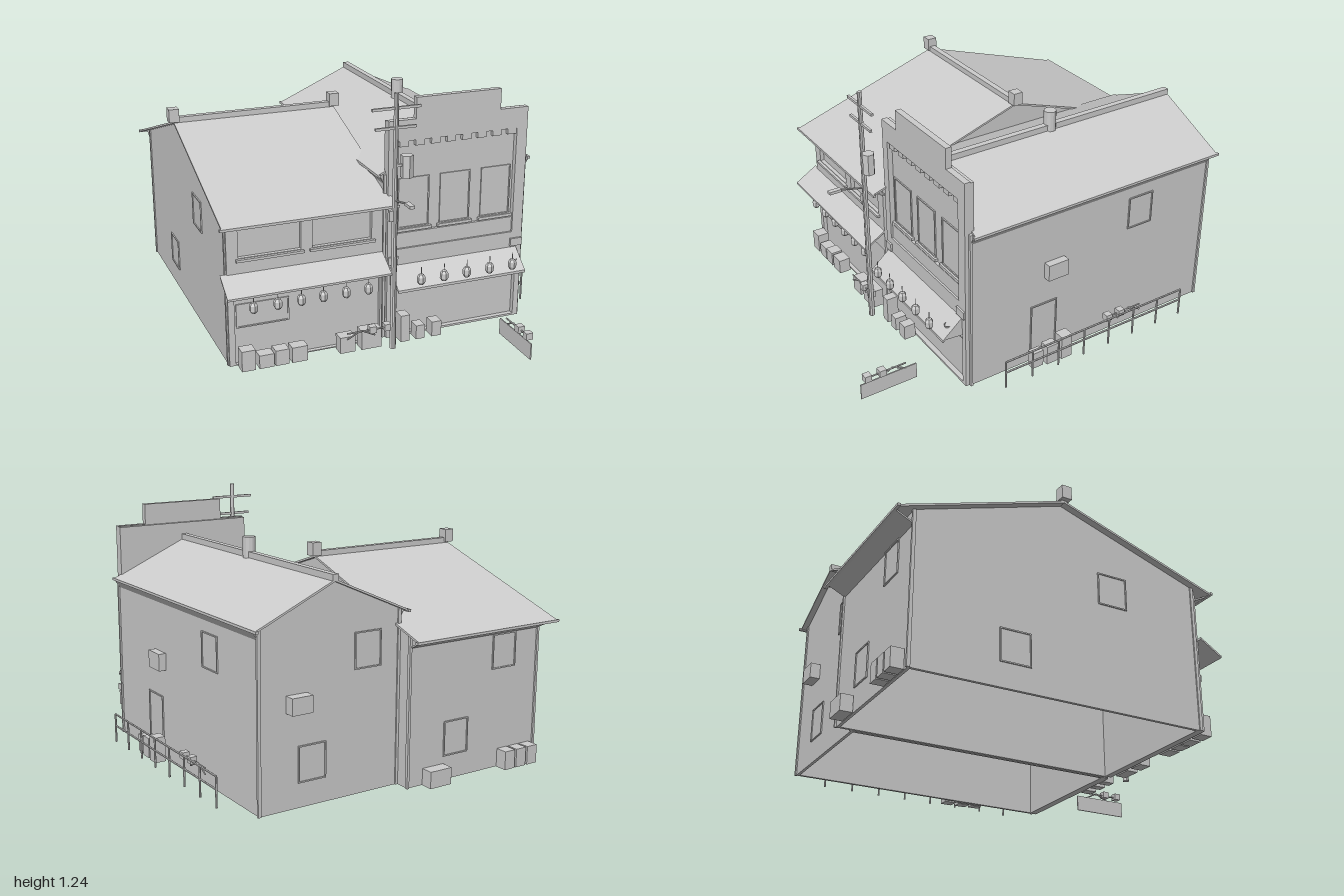
import * as THREE from 'three';

const grey = new THREE.MeshStandardMaterial({ color: 0xcccccc, side: THREE.DoubleSide, flatShading: true });
grey.name = 'light grey';

function add(parent, name, geo, x = 0, y = 0, z = 0) {
  const m = new THREE.Mesh(geo, grey);
  m.name = name;
  m.position.set(x, y, z);
  parent.add(m);
  return m;
}
// box given by its limits
function box(parent, name, x0, x1, y0, y1, z0, z1) {
  return add(parent, name, new THREE.BoxGeometry(x1 - x0, y1 - y0, z1 - z0), (x0 + x1) / 2, (y0 + y1) / 2, (z0 + z1) / 2);
}
// straight round bar between two points
function bar(parent, name, a, b, r, sides = 6) {
  const p = new THREE.Vector3(...a), d = new THREE.Vector3(...b).sub(p);
  const m = add(parent, name, new THREE.CylinderGeometry(r, r, d.length(), sides));
  m.position.copy(p).addScaledVector(d, 0.5);
  m.quaternion.setFromUnitVectors(new THREE.Vector3(0, 1, 0), d.normalize());
  return m;
}
const outline = pts => pts.map(p => new THREE.Vector2(...p));
const rect = (x0, x1, y0, y1) => [[x0, y0], [x1, y0], [x1, y1], [x0, y1]];
// flat shape with holes, given a depth
function slab(parent, name, pts, depth, z = 0, holes = []) {
  const s = new THREE.Shape(outline(pts));
  holes.forEach(h => s.holes.push(new THREE.Path(outline(h))));
  return add(parent, name, new THREE.ExtrudeGeometry(s, { depth, bevelEnabled: false }), 0, 0, z);
}

// gabled house, ridge along local z, open underneath
function house(parent, name, o) {
  const g = new THREE.Group();
  g.name = name;
  const { hw, z0, z1, rw, rz0, rz1, peak, eave } = o, t = 0.01;
  const wallTop = peak - (peak - eave) * hw / rw - t;
  const gable = [[-hw, 0], [hw, 0], [hw, wallTop], [0, peak - t], [-hw, wallTop]];
  slab(g, 'gableWall', gable, 0.015, z0);
  slab(g, 'gableWall', gable, 0.015, z1 - 0.015);
  slab(g, 'roof', [[0, peak], [-rw, eave], [-rw, eave - t], [0, peak - t], [rw, eave - t], [rw, eave]], rz1 - rz0, rz0);
  box(g, 'ridgeCap', -0.015, 0.015, peak - 0.01, peak + 0.022, rz0, rz1);
  for (const s of [-1, 1]) {
    box(g, 'sideWall', s * hw - 0.0075 * (1 + s), s * hw + 0.0075 * (1 - s), 0, wallTop, z0, z1);
    box(g, 'gutter', s * rw - 0.007, s * rw + 0.007, eave - 0.012, eave, rz0 - 0.01, rz1 + 0.01);
    // sloping soffit under the eave
    slab(g, 'soffit', [[s * hw, eave - 0.05], [s * rw, eave - 0.008], [s * rw, eave], [s * hw, eave - 0.042]], z1 - z0, z0);
    for (const z of [z0, z1]) box(g, 'cornerTrim', s * hw - 0.008, s * hw + 0.008, 0, wallTop, z - 0.006, z + 0.006);
  }
  parent.add(g);
  return g;
}

// framed window or door facing local +z
function opening(parent, name, x, y, z, w, h, turn = 0, sill = true) {
  const g = new THREE.Group();
  g.name = name;
  slab(g, 'frame', rect(-w / 2 - 0.006, w / 2 + 0.006, -0.006, h + 0.006), 0.006, 0, [rect(-w / 2, w / 2, 0, h)]);
  box(g, 'pane', -w / 2, w / 2, 0, h, -0.001, 0.001);
  if (sill) box(g, 'sill', -w / 2 - 0.018, w / 2 + 0.018, -0.02, -0.006, 0, 0.016);
  g.position.set(x, y, z);
  g.rotation.y = turn;
  parent.add(g);
}

// profile in (z, y) swept between x0 and x1
function sweepX(parent, name, pts, x0, x1) {
  const m = slab(parent, name, pts, x1 - x0);
  m.rotation.y = -Math.PI / 2;
  m.position.x = x1;
}

function lanterns(parent, xs, y, z) {
  const profile = [[0, -0.027], [0.012, -0.025], [0.02, -0.012], [0.02, 0.012], [0.012, 0.025], [0, 0.027]];
  for (const x of xs) {
    add(parent, 'lantern', new THREE.LatheGeometry(outline(profile), 6), x, y, z);
    bar(parent, 'lanternCord', [x, y + 0.02, z], [x, y + 0.06, z], 0.002, 4);
  }
}

// low rack with two small boxes on a thin rail, running along local x
function rack(parent, x, z, turn, board) {
  const g = new THREE.Group();
  g.name = 'displayRack';
  if (board) box(g, 'board', -0.145, 0.145, 0, 0.08, -0.003, 0.003);
  bar(g, 'rail', [-0.12, 0.105, 0], [0.09, 0.105, 0], 0.004);
  for (const bx of [-0.11, -0.035]) box(g, 'smallBox', bx - 0.017, bx + 0.017, 0.092, 0.125, -0.017, 0.017);
  for (const s of [-1, 1]) bar(g, 'strut', [0.02, 0.11, 0], [0.02 + s * 0.07, 0.075, 0], 0.004);
  g.position.set(x, 0, z);
  g.rotation.y = turn;
  parent.add(g);
}

export function createModel() {
  const root = new THREE.Group();
  root.name = 'twinShopBuildings';
  const H = Math.PI / 2;

  // the two houses
  const left = house(root, 'leftHouse', { hw: 0.72, z0: -0.77, z1: -0.005, rw: 0.808, rz0: -0.805, rz1: 0.02, peak: 0.965, eave: 0.7 });
  left.rotation.y = H;
  left.position.z = -0.185;
  const right = house(root, 'rightHouse', { hw: 0.3625, z0: -0.83, z1: 0.53, rw: 0.39, rz0: -0.86, rz1: 0.52, peak: 0.99, eave: 0.817 });
  right.position.x = 0.3625;
  for (const x of [-0.805, 0.02]) box(root, 'ridgeBlock', x - 0.025, x + 0.025, 0.965, 1.03, -0.21, -0.16);
  add(root, 'chimney', new THREE.CylinderGeometry(0.03, 0.03, 0.1, 12), 0.36, 1.03, -0.145);

  // left shop front
  const lf = new THREE.Group();
  lf.name = 'leftShopFront';
  root.add(lf);
  slab(lf, 'frontWall', rect(-0.77, -0.02, 0, 0.69), 0.02, 0.535,
    [rect(-0.74, -0.03, 0.005, 0.335), rect(-0.715, -0.42, 0.525, 0.68), rect(-0.365, -0.075, 0.525, 0.68)]);
  for (const x of [-0.568, -0.22]) box(lf, 'windowSill', x - 0.16, x + 0.16, 0.51, 0.522, 0.55, 0.57);
  opening(lf, 'shopWindow', -0.603, 0.185, 0.537, 0.24, 0.105, 0, false);
  sweepX(lf, 'awning', [[0.55, 0.455], [0.665, 0.385], [0.665, 0.375], [0.55, 0.445]], -0.8, -0.02);
  lanterns(lf, [-0.67, -0.556, -0.444, -0.338, -0.227, -0.116], 0.307, 0.62);

  // right stepped facade
  const rf = new THREE.Group();
  rf.name = 'rightShopFront';
  root.add(rf);
  slab(rf, 'steppedFacade',
    [[0.005, 0], [0.72, 0], [0.72, 1.075], [0.573, 1.075], [0.573, 1.175], [0.14, 1.175], [0.14, 1.075], [0.005, 1.075]],
    0.03, 0.525, [rect(0.025, 0.692, 0.01, 0.37), rect(0.05, 0.665, 0.45, 0.975)]);
  box(rf, 'facadeBacking', 0.005, 0.72, 0.8, 1.07, 0.508, 0.53);
  box(rf, 'lowerPanel', 0.05, 0.665, 0.45, 0.525, 0.53, 0.545);
  for (let i = 0; i < 8; i++) {
    const x = 0.063 + i * 0.0795;
    box(rf, 'friezeTooth', x, x + 0.045, 0.947, 0.976, 0.53, 0.55);
  }
  for (const x of [0.145, 0.358, 0.574]) opening(rf, 'upperWindow', x, 0.55, 0.531, 0.145, 0.235);
  for (const [a, b] of [[0.008, 0.057], [0.655, 0.718]]) box(rf, 'beltBlock', a, b, 0.378, 0.417, 0.55, 0.565);
  sweepX(rf, 'awning', [[0.55, 0.375], [0.655, 0.285], [0.655, 0.272], [0.55, 0.362]], 0.02, 0.69);
  for (const x of [0.02, 0.686]) sweepX(rf, 'awningSide', [[0.55, 0.375], [0.655, 0.285], [0.55, 0.275]], x, x + 0.004);
  box(rf, 'shopLedge', 0.025, 0.69, 0.248, 0.256, 0.53, 0.55);
  lanterns(rf, [0.125, 0.243, 0.362, 0.483, 0.605], 0.337, 0.675);
  add(rf, 'awningLamp', new THREE.SphereGeometry(0.018, 8, 4, 0, Math.PI * 2, H, H), 0.65, 0.33, 0.605);

  // crates along the walls: x, z, width, height
  for (const [x, z, w, h] of [[-0.7, 0.595, 0.065, 0.1], [-0.615, 0.595, 0.07, 0.065], [-0.54, 0.595, 0.065, 0.075],
    [-0.455, 0.595, 0.075, 0.075], [-0.22, 0.595, 0.075, 0.08], [-0.1, 0.595, 0.1, 0.095], [0.075, 0.59, 0.045, 0.135],
    [0.155, 0.59, 0.045, 0.07], [0.24, 0.59, 0.05, 0.075], [-0.71, -0.938, 0.06, 0.09], [-0.64, -0.938, 0.06, 0.09],
    [-0.57, -0.938, 0.06, 0.09], [-0.15, -0.938, 0.12, 0.08], [0.765, 0.195, 0.04, 0.085], [0.77, 0.12, 0.05, 0.1], [0.772, 0.04, 0.055, 0.125]])
    box(root, 'crate', x - w / 2, x + w / 2, 0, h, z - 0.03, z + 0.03);

  // windows, door and wall units on the sides and back
  opening(root, 'sideWindow', 0.726, 0.555, -0.42, 0.13, 0.155, H, false);
  opening(root, 'sideDoor', 0.726, 0.004, 0.13, 0.135, 0.3, H, false);
  for (const [x, y] of [[0.17, 0.58], [0.46, 0.12]]) opening(root, 'backWindow', x, y, -0.831, 0.13, 0.155, Math.PI, false);
  for (const [x, y] of [[-0.56, 0.49], [-0.28, 0.12]]) opening(root, 'backWindow', x, y, -0.906, 0.13, 0.155, Math.PI, false);
  for (const [z, y] of [[0.08, 0.51], [-0.42, 0.12]]) opening(root, 'sideWindow', -0.771, y, z, 0.14, 0.145, -H, false);
  box(root, 'wallUnit', 0.72, 0.762, 0.447, 0.53, 0.02, 0.13);
  box(root, 'wallUnit', 0.485, 0.59, 0.435, 0.512, -0.88, -0.83);

  // side railing
  const rail = new THREE.Group();
  rail.name = 'sideRailing';
  root.add(rail);
  for (const y of [0.085, 0.145]) bar(rail, 'handrail', [0.825, y, 0.405], [0.825, y, -0.64], 0.005);
  for (let i = 0; i < 8; i++) bar(rail, 'railPost', [0.825, 0, 0.405 - i * 0.1493], [0.825, 0.145, 0.405 - i * 0.1493], 0.005);

  // display racks
  rack(root, 0.535, 0.855, H, true);
  rack(root, -0.14, 0.64, Math.PI, false);
  rack(root, 0.765, -0.34, H, false);

  // utility pole
  const pole = new THREE.Group();
  pole.name = 'utilityPole';
  pole.position.set(-0.006, 0, 0.655);
  root.add(pole);
  add(pole, 'poleShaft', new THREE.CylinderGeometry(0.011, 0.015, 1.235, 10), 0, 0.6175, 0);
  box(pole, 'crossArm', -0.117, 0.118, 1.16, 1.172, -0.006, 0.006);
  box(pole, 'crossArm', -0.1, 0.098, 1.07, 1.082, -0.006, 0.006);
  add(pole, 'transformer', new THREE.CylinderGeometry(0.03, 0.03, 0.105, 6), 0.056, 0.893, 0);
  box(pole, 'transformerBracket', 0, 0.04, 0.895, 0.907, -0.006, 0.006);
  bar(pole, 'lampArm', [0, 0.735, 0], [0, 0.765, 0.13], 0.005);
  box(pole, 'streetLamp', -0.012, 0.012, 0.758, 0.772, 0.125, 0.185);
  box(pole, 'meterBox', -0.03, -0.01, 0.64, 0.69, -0.01, 0.01);
  return root;
}
